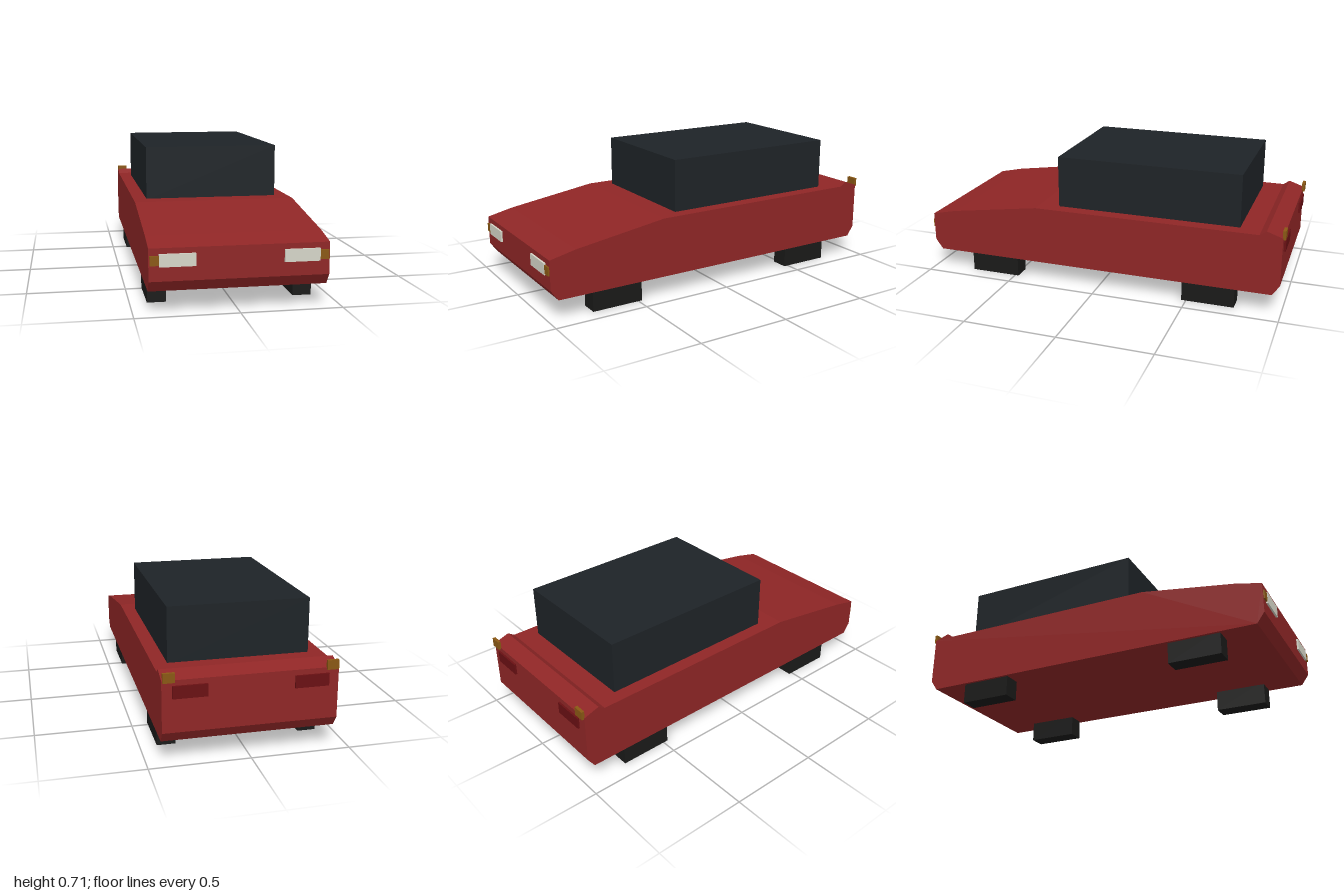
import * as THREE from 'three';

const paint = (color) => new THREE.MeshStandardMaterial({ color, flatShading: true });
const red = paint(0x8f2626);
const dark = paint(0x1e2327);
const rubber = paint(0x1a1a19);
const white = paint(0xd6d6c8);
const amber = paint(0x8a5814);
const tailRed = paint(0x6a1013);

export function createModel() {
  const car = new THREE.Group();
  car.name = 'car';

  // box given by its [min, max] range on each axis
  function box(name, material, [x0, x1], [y0, y1], [z0, z1]) {
    const mesh = new THREE.Mesh(new THREE.BoxGeometry(x1 - x0, y1 - y0, z1 - z0), material);
    mesh.position.set((x0 + x1) / 2, (y0 + y1) / 2, (z0 + z1) / 2);
    mesh.name = name;
    car.add(mesh);
  }

  // the same box on the left and the right
  function pair(name, material, [x0, x1], y, z) {
    box(name + 'Left', material, [x0, x1], y, z);
    box(name + 'Right', material, [-x1, -x0], y, z);
  }

  // wedge body: side profile (z, y) extruded across the width
  const profile = [
    [0.95, 0.11], [0.99, 0.165], [0.99, 0.322], [0.85, 0.353], [0.35, 0.428],
    [-0.87, 0.428], [-0.905, 0.452], [-0.988, 0.424], [-0.988, 0.165], [-0.95, 0.11],
  ].map(([z, y]) => new THREE.Vector2(z, y));
  const width = 0.86;
  const bodyGeometry = new THREE.ExtrudeGeometry(new THREE.Shape(profile), { depth: width, bevelEnabled: false });
  bodyGeometry.translate(0, 0, -width / 2).rotateY(-Math.PI / 2);
  const body = new THREE.Mesh(bodyGeometry, red);
  body.name = 'body';
  car.add(body);

  // cabin block
  box('cabin', dark, [-0.358, 0.358], [0.42, 0.708], [-0.76, 0.24]);

  // block wheels
  pair('frontWheel', rubber, [0.32, 0.415], [0, 0.13], [0.48, 0.76]);
  pair('rearWheel', rubber, [0.32, 0.415], [0, 0.13], [-0.757, -0.475]);

  // front lamps
  pair('headlight', white, [0.21, 0.382], [0.234, 0.295], [0.98, 1]);
  pair('frontIndicator', amber, [0.382, 0.425], [0.241, 0.287], [0.98, 0.998]);

  // rear lamps
  pair('tailLight', tailRed, [0.212, 0.38], [0.335, 0.397], [-0.998, -0.98]);
  pair('rearIndicator', amber, [0.368, 0.426], [0.415, 0.462], [-1, -0.984]);

  return car;
}
